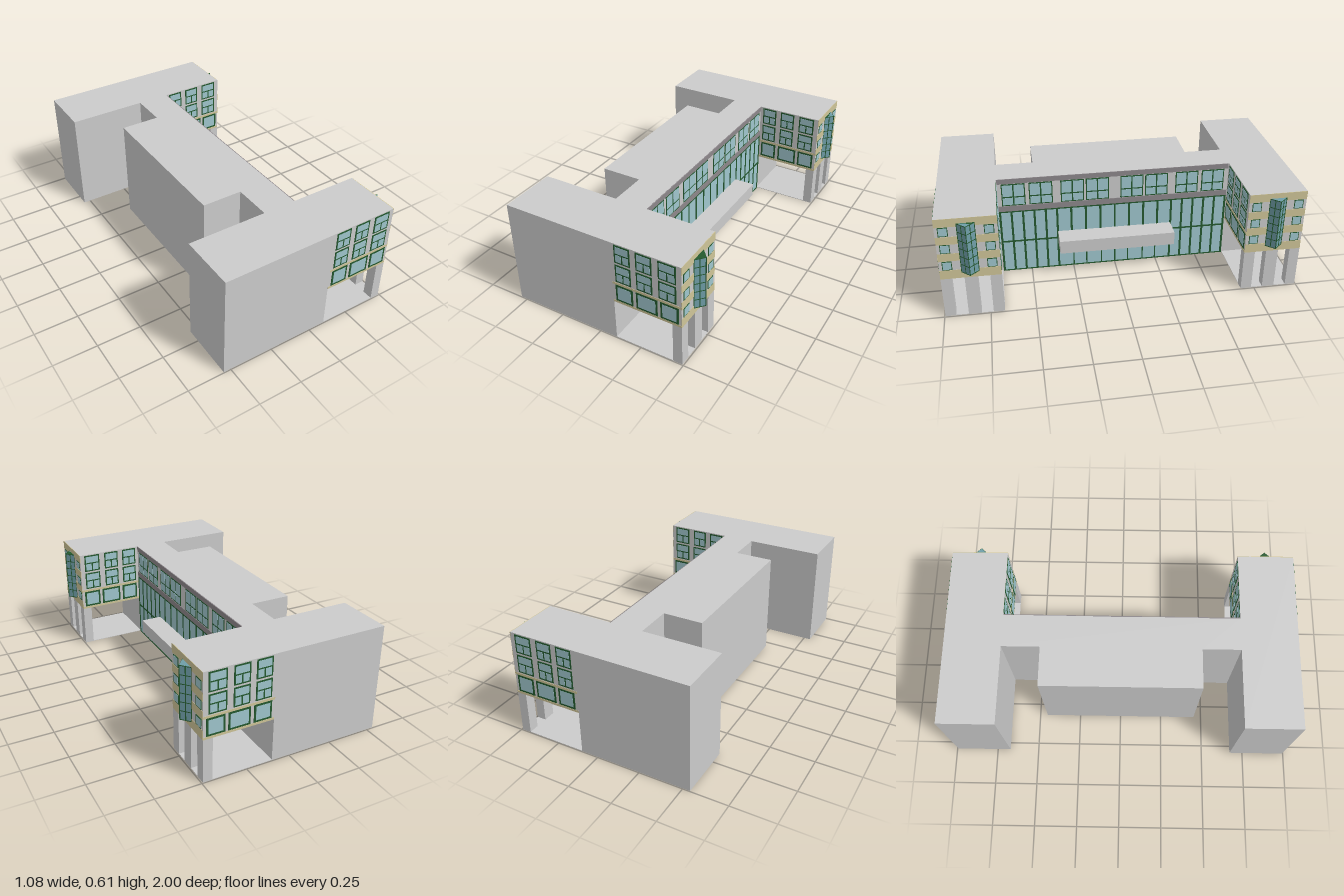
import * as THREE from 'three';

const mat = (color) => new THREE.MeshStandardMaterial({ color });
const GREY = mat(0xcccccc), BAND = mat(0x8d878b), TAN = mat(0xcfc598);
const GREEN = mat(0x24592f), GLASS = mat(0x9fc6cd), BAYGLASS = mat(0x6f9ea8);

const TOP = 0.61, SOFFIT = 0.245, FRONT = 0.1, END = 0.493;
const WING_IN = 0.673, WING_OUT = 0.996;

function group(name, parent) {
  const g = new THREE.Group();
  g.name = name;
  parent.add(g);
  return g;
}

// Box given by its minimum and maximum coordinates
function box(parent, name, material, x0, x1, y0, y1, z0, z1) {
  const m = new THREE.Mesh(
    new THREE.BoxGeometry(Math.abs(x1 - x0), y1 - y0, Math.abs(z1 - z0)), material);
  m.position.set((x0 + x1) / 2, (y0 + y1) / 2, (z0 + z1) / 2);
  m.name = name;
  parent.add(m);
  return m;
}

// Returns a function laying thin plates on a wall; u runs along the wall
function wall(parent, axis, plane, sign) {
  return (name, material, u0, u1, y0, y1, depth) => {
    const a = plane - sign * 0.002, b = plane + sign * depth;
    return axis === 'z'
      ? box(parent, name, material, u0, u1, y0, y1, a, b)
      : box(parent, name, material, a, b, y0, y1, u0, u1);
  };
}

// Green plate with raised glass panes; rows list pane counts from the bottom up
function windowUnit(plate, u0, u1, y0, y1, rows, split, border = 0.008, bar = 0.008) {
  plate('windowFrame', GREEN, u0, u1, y0, y1, 0.0025);
  const levels = rows.length === 1 ? [y0, y1] : [y0, y0 + (y1 - y0) * split, y1];
  rows.forEach((count, r) => {
    const b0 = levels[r] + (r === 0 ? border : bar / 2);
    const b1 = levels[r + 1] - (r === rows.length - 1 ? border : bar / 2);
    const w = (u1 - u0 - 2 * border - (count - 1) * bar) / count;
    for (let i = 0; i < count; i++) {
      const s = u0 + border + i * (w + bar);
      plate('glassPane', GLASS, s, s + w, b0, b1, 0.0035);
    }
  });
}

// Polygon extruded between two depths
function prism(points, depth) {
  const shape = new THREE.Shape(points.map(([x, y]) => new THREE.Vector2(x, y)));
  return new THREE.ExtrudeGeometry(shape, { depth, bevelEnabled: false });
}

// Long wall of a wing: three bays of windows on three floors, with tan courses
function wingSide(parent, plane, sign) {
  const plate = wall(parent, 'z', plane, sign);
  plate('lowerCourse', TAN, FRONT, END, SOFFIT, 0.258, 0.0015);
  plate('upperCourse', TAN, FRONT, END, 0.36, 0.373, 0.0015);
  for (const [a, b] of [[0.12, 0.21], [0.242, 0.332], [0.367, 0.465]])
    for (const y of [0.38, 0.498]) windowUnit(plate, a, b, y, y + 0.106, [2, 1], 0.51);
  for (const [a, b] of [[0.117, 0.217], [0.236, 0.358], [0.375, 0.477]])
    windowUnit(plate, a, b, 0.26, 0.36, [1], 1, 0.011);
}

// Triangular glazed bay standing out from a wing end
function glazedBay(parent, zc) {
  const bay = group('glazedBay', parent);
  const y0 = 0.28, y1 = 0.58, half = 0.046, out = 0.041;
  const tri = (name, material, grow, a, b) => {
    const m = new THREE.Mesh(
      prism([[0, -half - grow], [out + grow, 0], [0, half + grow]], b - a), material);
    m.rotation.x = -Math.PI / 2;
    m.position.set(END, a, zc);
    m.name = name;
    bay.add(m);
  };
  tri('bayGlass', BAYGLASS, 0, y0, y1);
  const rows = 6;
  for (let i = 0; i <= rows; i++) {
    const y = y0 + (y1 - y0 - 0.004) * i / rows;
    tri('bayTransom', GREEN, 0.002, y, y + 0.004);
  }
  // Mullions at the corners and midway along both faces
  for (const t of [-1, -0.5, 0, 0.5, 1]) {
    const x = END + out * (1 - Math.abs(t)), z = zc + half * t;
    box(bay, 'bayMullion', GREEN, x - 0.002, x + 0.002, y0, y1, z - 0.002, z + 0.002);
  }
}

function wing(parent, s) {
  const g = group(s > 0 ? 'frontWing' : 'rearWing', parent);

  // Body with the passage cut out below its outer end
  const body = new THREE.Mesh(prism([[-0.54, 0], [FRONT, 0], [FRONT, SOFFIT],
    [END, SOFFIT], [END, TOP], [-0.54, TOP]], WING_OUT - WING_IN), GREY);
  body.position.z = s > 0 ? WING_IN : -WING_OUT;
  body.name = 'wingBody';
  g.add(body);

  box(g, 'passageFloor', GREY, FRONT, END, 0, 0.003, s * WING_IN, s * WING_OUT);
  for (const [a, b] of [[WING_IN, 0.735], [0.8, 0.87], [0.938, WING_OUT]])
    box(g, 'column', GREY, 0.44, END, 0, SOFFIT, s * a, s * b);

  wingSide(group('outerWall', g), s * WING_OUT, s);
  wingSide(group('innerWall', g), s * WING_IN, -s);

  // End wall: tan spandrels with small windows either side of the bay
  const end = group('endWall', g);
  const plate = wall(end, 'x', END, 1);
  const lo = Math.min(s * WING_IN, s * WING_OUT), hi = Math.max(s * WING_IN, s * WING_OUT);
  for (const [a, b] of [[SOFFIT, 0.298], [0.355, 0.402], [0.457, 0.503], [0.562, TOP]])
    plate('spandrel', TAN, lo, hi, a, b, 0.0015);
  for (const y of [0.3, 0.404, 0.507])
    for (const c of [0.717, 0.953])
      windowUnit(plate, s * c - 0.026, s * c + 0.026, y, y + 0.053, [1], 1, 0.004);
  glazedBay(end, s * 0.835);
}

function mainFacade(parent) {
  const g = group('mainFacade', parent);
  const plate = wall(g, 'x', FRONT, 1);
  const W = WING_IN - 0.004;
  plate('parapetBand', BAND, -W, W, 0.58, TOP, 0.004);
  plate('floorBand', BAND, -W, W, 0.404, 0.438, 0.004);

  // Upper windows, in pairs
  for (const c of [0.1, 0.245, 0.425, 0.58])
    for (const s of [-1, 1])
      windowUnit(plate, s * c - 0.067, s * c + 0.067, 0.44, 0.577, [2, 2], 0.4, 0.006, 0.008);

  // Curtain wall on both floors
  plate('curtainGlass', GLASS, -W, W, 0.003, 0.402, 0.002);
  plate('headRail', GREEN, -W, W, 0.396, 0.404, 0.004);
  plate('sill', GREEN, -W, W, 0, 0.007, 0.004);
  const mullion = (z, y0, y1, w = 0.012) =>
    plate('mullion', GREEN, z - w / 2, z + w / 2, y0, y1, 0.004);
  for (const s of [-1, 1]) {
    for (let i = 0; i <= 5; i++) mullion(s * (0.337 + (W - 0.343) * i / 5), 0, 0.4);
    plate('transom', GREEN, s * 0.335, s * W, 0.197, 0.207, 0.004);
    for (const z of [0.085, 0.17, 0.255]) mullion(s * z, 0.2, 0.4);
    for (const z of [0.08, 0.17, 0.247]) mullion(s * z, 0, 0.2, 0.007);
    plate('doorHead', GREEN, s * 0.17, s * 0.247, 0.157, 0.164, 0.004);
  }
  mullion(0, 0, 0.4, 0.009);
}

export function createModel() {
  const model = new THREE.Group();
  model.name = 'building';

  // Central block, with its deeper part behind
  const plan = [[-0.09, -WING_IN], [FRONT, -WING_IN], [FRONT, WING_IN], [-0.09, WING_IN],
    [-0.09, 0.455], [-0.318, 0.455], [-0.318, -0.455], [-0.09, -0.455]];
  const central = new THREE.Mesh(prism(plan, TOP), GREY);
  central.rotation.x = -Math.PI / 2;
  central.name = 'centralBlock';
  model.add(central);

  mainFacade(model);
  box(model, 'entranceCanopy', GREY, FRONT, 0.223, 0.165, SOFFIT, -0.336, 0.336);
  for (const s of [1, -1]) wing(model, s);
  return model;
}
